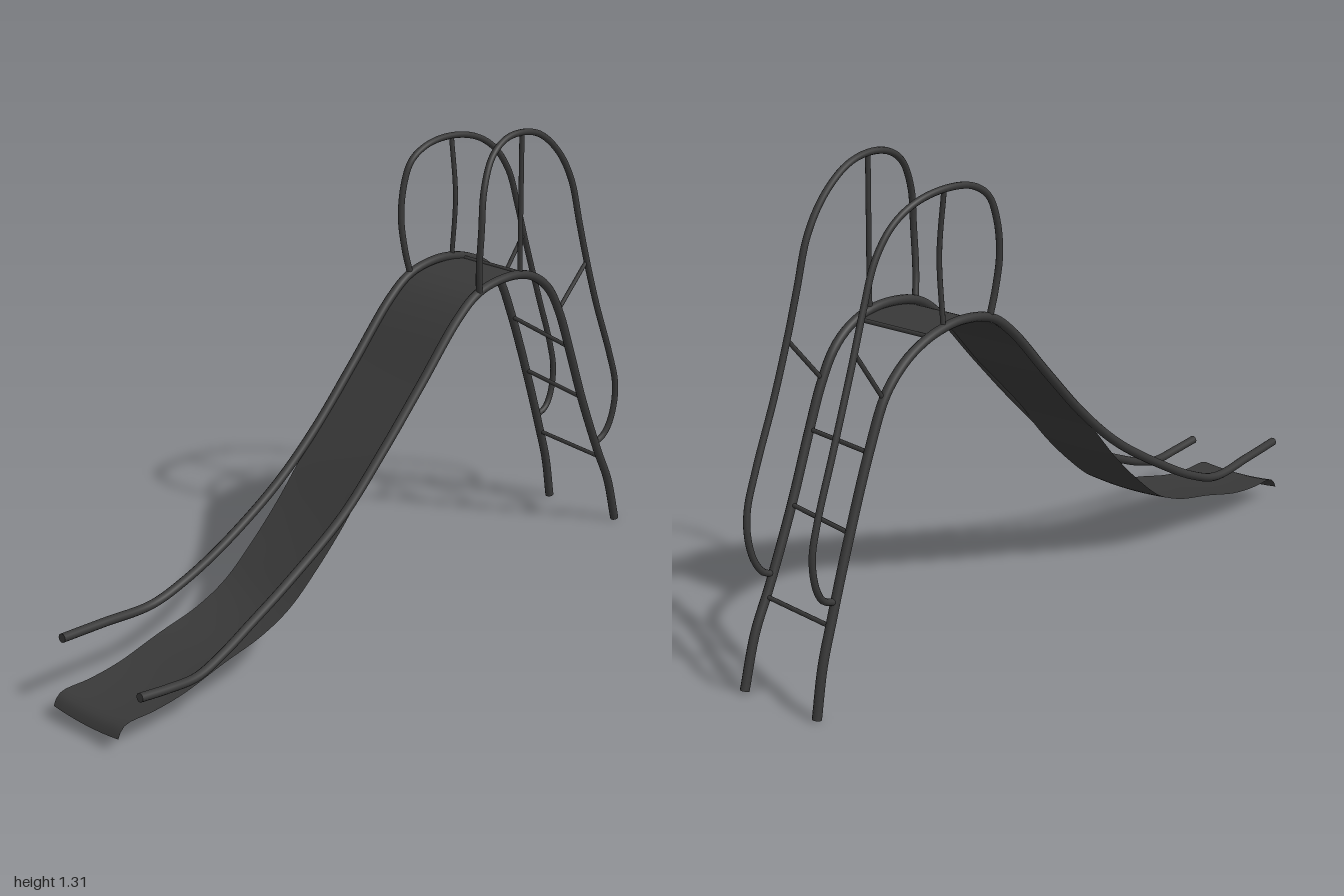
import * as THREE from 'three';
import { mergeGeometries } from 'three/addons/utils/BufferGeometryUtils.js';

const steel = new THREE.MeshStandardMaterial({ color: 0x383838, side: THREE.DoubleSide });
steel.name = 'dark steel';

const curveOf = pts => new THREE.CatmullRomCurve3(pts.map(p => new THREE.Vector3(...p)), false, 'centripetal');

// Round pipe through points, with flat end caps
function pipe(name, pts, radius, segments = 1) {
  const curve = curveOf(pts);
  const parts = [new THREE.TubeGeometry(curve, segments, radius, 10)];
  for (const [t, dir] of [[0, -1], [1, 1]]) {
    const cap = new THREE.CircleGeometry(radius, 10);
    const out = curve.getTangentAt(t).multiplyScalar(dir);
    cap.applyQuaternion(new THREE.Quaternion().setFromUnitVectors(new THREE.Vector3(0, 0, 1), out));
    const p = curve.getPointAt(t);
    cap.translate(p.x, p.y, p.z);
    parts.push(cap);
  }
  const mesh = new THREE.Mesh(mergeGeometries(parts), steel);
  mesh.name = name;
  return mesh;
}

// Sliding bed: a sheet swept along a side profile, sagging a little in the middle
function makeChute() {
  const profile = curveOf([
    [-0.998, 0.045, 0], [-0.985, 0.068, 0], [-0.965, 0.077, 0], [-0.88, 0.077, 0], [-0.78, 0.087, 0],
    [-0.64, 0.12, 0], [-0.5, 0.15, 0], [-0.4, 0.192, 0], [-0.3, 0.268, 0], [-0.2, 0.36, 0],
    [-0.08, 0.49, 0], [0.1, 0.665, 0], [0.25, 0.82, 0], [0.33, 0.872, 0], [0.42, 0.89, 0], [0.5, 0.892, 0], [0.55, 0.883, 0],
  ]);
  const geo = new THREE.PlaneGeometry(1, 1, 100, 8);
  const pos = geo.attributes.position;
  for (let i = 0; i < pos.count; i++) {
    const p = profile.getPointAt(THREE.MathUtils.clamp(pos.getX(i) + 0.5, 0, 1));
    const v = pos.getY(i) * 2;
    const sag = 0.008 * (1 - v * v) * THREE.MathUtils.smoothstep(-p.x, -0.3, 0.5);
    pos.setXYZ(i, p.x, p.y - sag, -v * 0.125);
  }
  geo.computeVertexNormals();
  const mesh = new THREE.Mesh(geo, steel);
  mesh.name = 'chute';
  return mesh;
}

export function createModel() {
  const group = new THREE.Group();
  group.name = 'playground slide';
  group.add(makeChute());

  // Shared middle stretch of both side rails, from slope to crest
  const slope = z => [[-0.05, 0.528, z], [0.1, 0.678, z], [0.25, 0.832, z], [0.33, 0.885, z], [0.44, 0.903, z], [0.53, 0.893, z]];

  // Side rails: slide edge, crest and ladder leg in one pipe
  group.add(pipe('leftSideRail', [
    [-0.945, 0.15, 0.15], [-0.85, 0.14, 0.152], [-0.755, 0.135, 0.15], [-0.65, 0.162, 0.14], [-0.55, 0.2, 0.13], [-0.4, 0.268, 0.122],
    [-0.2, 0.393, 0.125], ...slope(0.125), [0.59, 0.865, 0.127], [0.64, 0.82, 0.128], [0.685, 0.74, 0.13], [0.73, 0.625, 0.132],
    [0.8, 0.45, 0.13], [0.885, 0.26, 0.13], [0.94, 0.15, 0.13], [0.985, 0.008, 0.128],
  ], 0.0125, 140));
  group.add(pipe('rightSideRail', [
    [-0.945, 0.21, -0.145], [-0.8, 0.2, -0.152], [-0.63, 0.19, -0.157], [-0.525, 0.222, -0.15], [-0.4, 0.285, -0.137],
    [-0.2, 0.405, -0.13], ...slope(-0.127), [0.6, 0.87, -0.127], [0.66, 0.835, -0.127], [0.72, 0.775, -0.127], [0.78, 0.65, -0.127],
    [0.86, 0.44, -0.127], [0.925, 0.25, -0.127], [0.96, 0.14, -0.127], [0.985, 0.008, -0.127],
  ], 0.0125, 140));

  // Looped handrails
  group.add(pipe('leftHandrail', [
    [0.333, 0.885, 0.128], [0.315, 0.96, 0.142], [0.31, 1.07, 0.152], [0.325, 1.18, 0.145], [0.37, 1.26, 0.132], [0.43, 1.297, 0.125],
    [0.5, 1.305, 0.125], [0.58, 1.285, 0.125], [0.66, 1.22, 0.128], [0.715, 1.13, 0.132], [0.75, 1.0, 0.138], [0.78, 0.89, 0.143],
    [0.83, 0.74, 0.147], [0.9, 0.57, 0.148], [0.935, 0.47, 0.147], [0.94, 0.4, 0.143], [0.925, 0.335, 0.138], [0.9, 0.3, 0.133], [0.873, 0.29, 0.13],
  ], 0.009, 110));
  group.add(pipe('rightHandrail', [
    [0.333, 0.885, -0.127], [0.315, 0.96, -0.132], [0.308, 1.05, -0.14], [0.32, 1.14, -0.142], [0.345, 1.205, -0.138], [0.4, 1.24, -0.133],
    [0.5, 1.25, -0.13], [0.6, 1.23, -0.122], [0.67, 1.185, -0.112], [0.725, 1.11, -0.106], [0.77, 1.0, -0.108], [0.82, 0.875, -0.115],
    [0.9, 0.68, -0.124], [0.965, 0.515, -0.128], [0.985, 0.43, -0.128], [0.975, 0.35, -0.128], [0.95, 0.31, -0.127], [0.91, 0.295, -0.127],
  ], 0.009, 110));

  // Thin posts and braces holding the handrails
  group.add(pipe('leftPost', [[0.508, 0.9, 0.125], [0.502, 1.305, 0.125]], 0.007));
  group.add(pipe('rightPost', [[0.508, 0.9, -0.127], [0.506, 1.08, -0.115], [0.502, 1.25, -0.13]], 0.007, 12));
  group.add(pipe('leftBrace', [[0.68, 0.755, 0.13], [0.785, 0.88, 0.143]], 0.006));
  group.add(pipe('rightBrace', [[0.725, 0.765, -0.127], [0.81, 0.9, -0.114]], 0.006));

  // Ladder rungs, slightly skewed, plus the bar under the top edge of the chute
  const rungs = [[0.553, 0.884, 0.553, 0.884], [0.724, 0.632, 0.783, 0.645], [0.799, 0.453, 0.855, 0.457], [0.897, 0.235, 0.93, 0.237]];
  rungs.forEach(([x1, y1, x2, y2], i) =>
    group.add(pipe(i ? 'rung' + i : 'topBar', [[x1, y1, 0.128], [x2, y2, -0.127]], 0.006)));

  return group;
}
